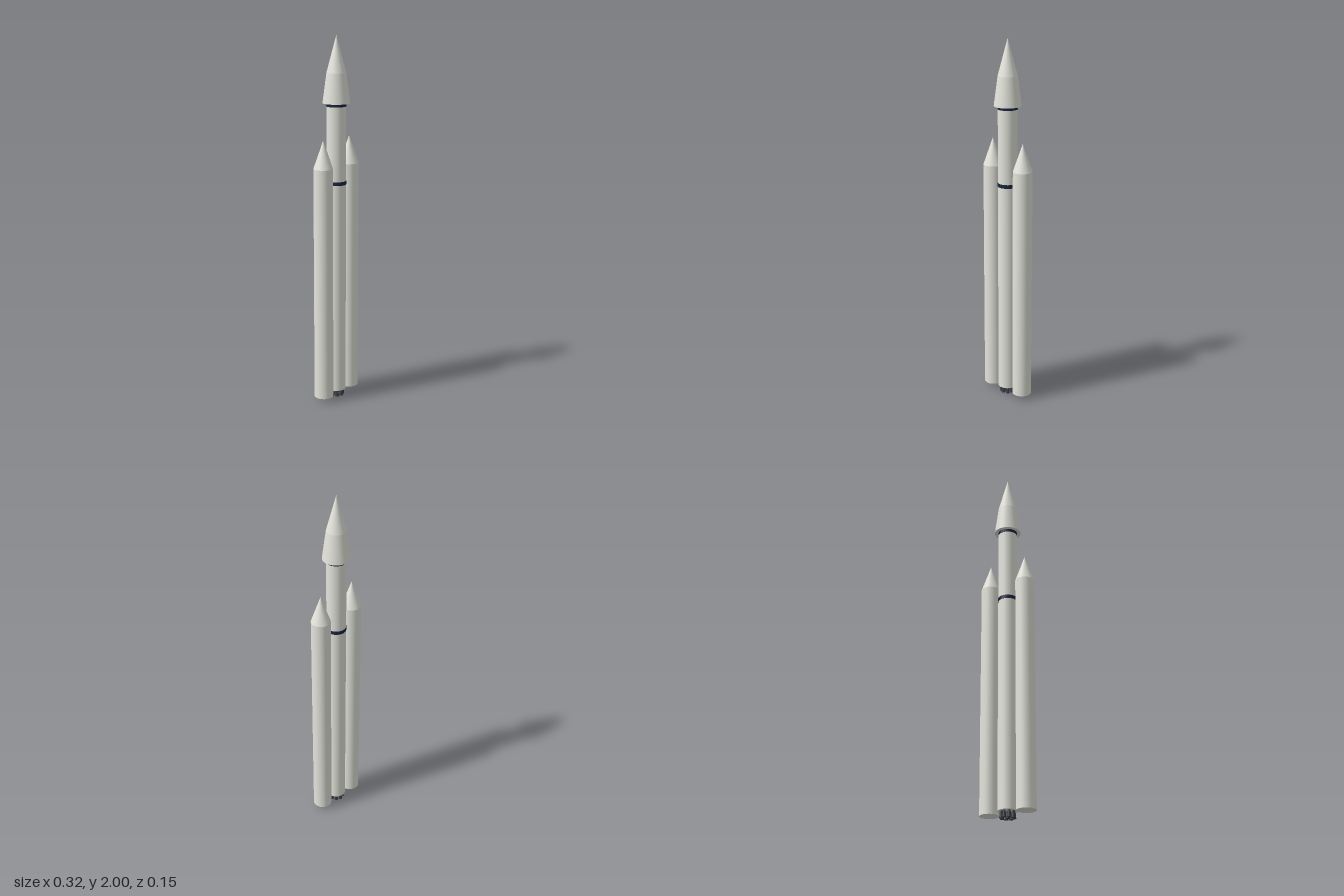
import * as THREE from 'three';

export function createModel() {
  const rocket = new THREE.Group();
  rocket.name = 'rocket';

  const material = (name, color) => {
    const m = new THREE.MeshStandardMaterial({ color });
    m.name = name;
    return m;
  };
  const white = material('offWhite', 0xe4e4dc);
  const navy = material('navy', 0x1a2540);
  const metal = material('darkMetal', 0x3a4044);

  const R = 0.052;

  // Upright round section between two heights, with its radii
  const section = (parent, name, mat, y0, y1, r0, r1, x = 0, z = 0, sides = 40) => {
    const geometry = r1 === 0
      ? new THREE.ConeGeometry(r0, y1 - y0, sides)
      : new THREE.CylinderGeometry(r1, r0, y1 - y0, sides);
    const mesh = new THREE.Mesh(geometry, mat);
    mesh.name = name;
    mesh.position.set(x, (y0 + y1) / 2, z);
    parent.add(mesh);
    return mesh;
  };

  // Core stage and its two bands
  section(rocket, 'coreBody', white, 0.037, 1.648, R, R);
  section(rocket, 'interstageBand', navy, 1.211, 1.231, R + 0.0012, R + 0.0012);
  section(rocket, 'upperBand', navy, 1.63, 1.647, R + 0.0012, R + 0.0012);

  // Flared fairing with pointed nose
  section(rocket, 'fairing', white, 1.647, 1.805, 0.073, R);
  section(rocket, 'noseCone', white, 1.805, 2, R, 0);

  // Side boosters
  for (const side of [-1, 1]) {
    const booster = new THREE.Group();
    booster.name = side > 0 ? 'leftBooster' : 'rightBooster';
    section(booster, 'boosterBody', white, 0.026, 1.312, R, R, side * 0.11);
    section(booster, 'boosterNose', white, 1.312, 1.462, R, 0, side * 0.11);
    rocket.add(booster);
  }

  // Engine cluster: one nozzle in the centre, eight around it
  const engines = new THREE.Group();
  engines.name = 'engines';
  section(engines, 'centreNozzle', metal, 0, 0.038, 0.012, 0.007, 0, 0, 16);
  for (let i = 0; i < 8; i++) {
    const a = (i / 8) * Math.PI * 2;
    section(engines, 'outerNozzle', metal, 0, 0.038, 0.011, 0.007,
      Math.cos(a) * 0.033, Math.sin(a) * 0.033, 16);
  }
  rocket.add(engines);

  return rocket;
}
